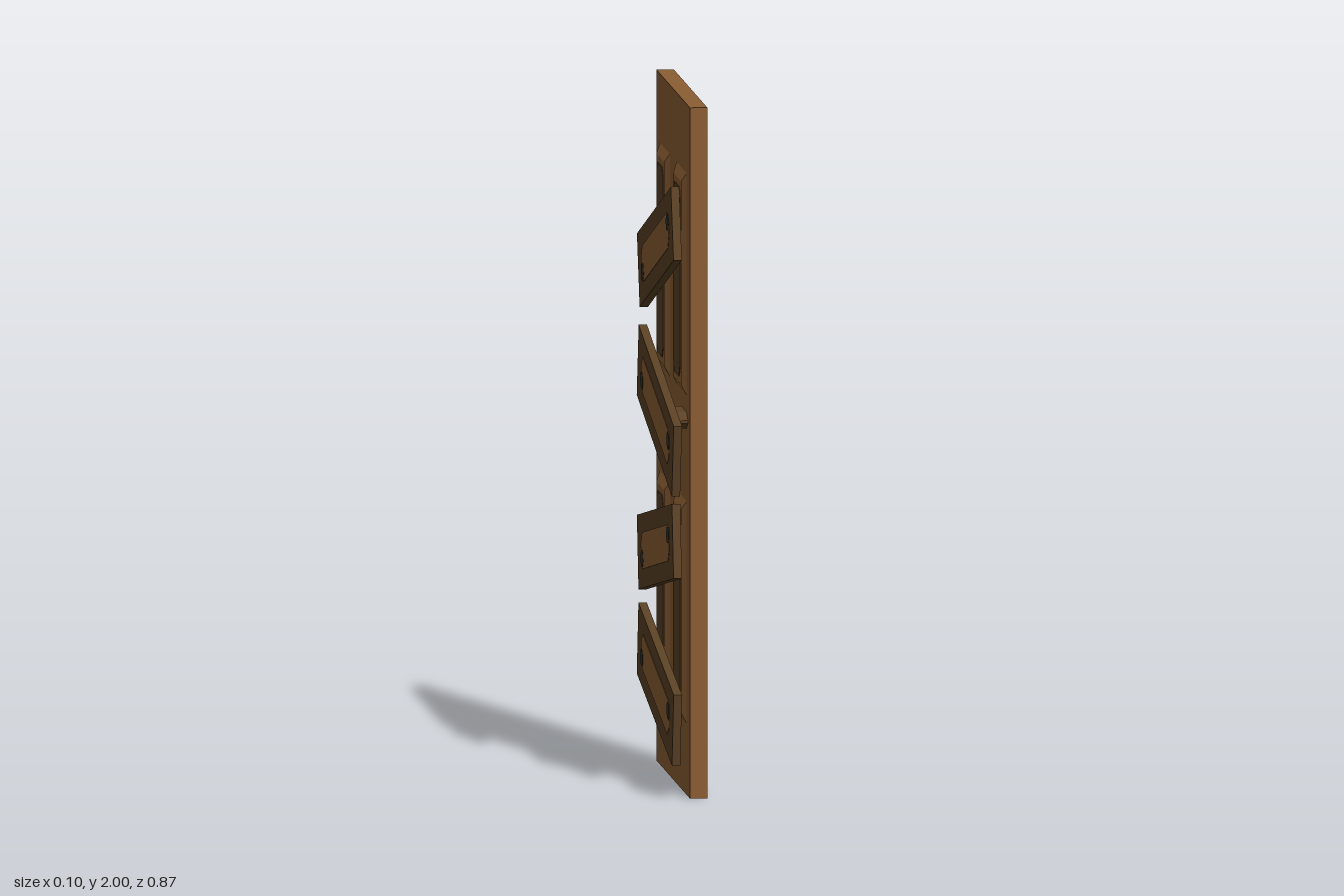
import * as THREE from 'three';

const wood = new THREE.MeshStandardMaterial({ name: 'warm wood', color: 0x8b5e34 });
const darkWood = new THREE.MeshStandardMaterial({ name: 'dark wood', color: 0x5c4226 });
const iron = new THREE.MeshStandardMaterial({ name: 'dark iron', color: 0x34332f });

function add(parent, name, geometry, material, x = 0, y = 0, z = 0) {
  const mesh = new THREE.Mesh(geometry, material);
  mesh.name = name;
  mesh.position.set(x, y, z);
  parent.add(mesh);
  return mesh;
}

// Chamfered rectangle lying in the z-y plane, extruded towards -x
function chamferedPlate(width, height, cutZ, cutY, depth) {
  const w = width / 2, h = height / 2;
  const points = [
    [-w + cutZ, -h], [w - cutZ, -h], [w, -h + cutY], [w, h - cutY],
    [w - cutZ, h], [-w + cutZ, h], [-w, h - cutY], [-w, -h + cutY],
  ].map(([a, b]) => new THREE.Vector2(a, b));
  const geometry = new THREE.ExtrudeGeometry(new THREE.Shape(points), { depth, bevelEnabled: false });
  return geometry.rotateY(-Math.PI / 2);
}

// Box whose -x face is smaller by the bevel on every side
function raisedPanel(depth, height, width, bevel) {
  const geometry = new THREE.BoxGeometry(depth, height, width);
  const p = geometry.attributes.position;
  for (let i = 0; i < p.count; i++) {
    if (p.getX(i) < 0) {
      p.setY(i, p.getY(i) - Math.sign(p.getY(i)) * bevel);
      p.setZ(i, p.getZ(i) - Math.sign(p.getZ(i)) * bevel);
    }
  }
  geometry.computeVertexNormals();
  return geometry;
}

export function createModel() {
  const group = new THREE.Group();
  group.name = 'boardedDoor';

  add(group, 'doorSlab', new THREE.BoxGeometry(0.05, 2, 0.786), wood, 0.025, 1, 0);

  // Four raised panels with dark centres
  for (const y of [1.478, 0.528]) {
    for (const side of [-1, 1]) {
      const z = side * 0.198;
      add(group, 'raisedPanel', raisedPanel(0.013, 0.644, 0.236, 0.027), wood, -0.0065, y, z);
      add(group, 'panelCentre', chamferedPlate(0.155, 0.55, 0.025, 0.03, 0.002), darkWood, -0.013, y, z);
    }
  }

  // Door handle behind the planks
  add(group, 'handle', chamferedPlate(0.198, 0.048, 0.04, 0.02, 0.028), darkWood, 0, 1.084, 0.25);

  // Planks nailed across the door: centre height, tilt in degrees, length
  const planks = [[1.543, 17.2, 0.834], [1.069, -12.3, 0.843], [0.675, 10.1, 0.838], [0.277, -10.4, 0.842]];
  for (const [y, tilt, length] of planks) {
    const plank = new THREE.Group();
    plank.name = 'plank';
    plank.position.set(0, y, 0);
    plank.rotation.x = -THREE.MathUtils.degToRad(tilt);
    add(plank, 'board', new THREE.BoxGeometry(0.024, 0.214, length), darkWood, -0.04, 0, 0);
    add(plank, 'boardFace', chamferedPlate(0.67, 0.105, 0.035, 0.03, 0.001), wood, -0.052, 0, 0);
    for (const side of [-1, 1]) {
      add(plank, 'nail', chamferedPlate(0.056, 0.046, 0.014, 0.012, 0.002), iron, -0.052, side * 0.022, side * 0.31);
    }
    group.add(plank);
  }
  return group;
}
